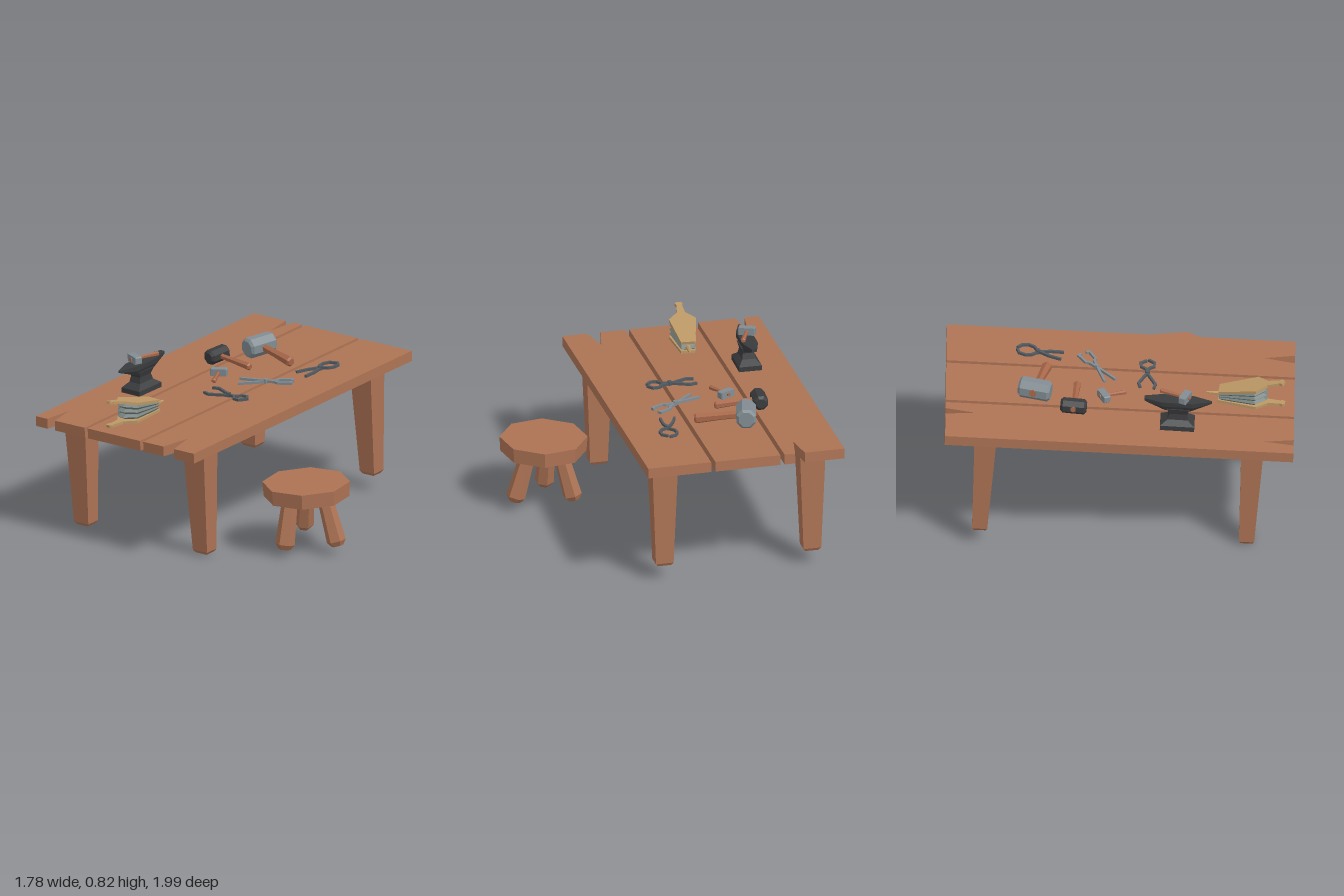
import * as THREE from 'three';
import { ConvexGeometry } from 'three/addons/geometries/ConvexGeometry.js';

const mat = (name, color) => new THREE.MeshStandardMaterial({ name, color });
const wood = mat('wood', 0xad7354);
const handleWood = mat('handle wood', 0xa8674a);
const paleWood = mat('pale wood', 0xbb9765);
const iron = mat('black iron', 0x3a3b3d);
const steel = mat('steel', 0x818c92);
const darkSteel = mat('dark steel', 0x525b61);
const leather = mat('grey leather', 0x77827f);

// Split faces so that every facet is flat
function facet(geo) {
  const g = geo.index ? geo.toNonIndexed() : geo;
  g.computeVertexNormals();
  return g;
}

function add(parent, name, geo, material, x = 0, y = 0, z = 0) {
  const m = new THREE.Mesh(facet(geo), material);
  m.name = name;
  m.position.set(x, y, z);
  parent.add(m);
  return m;
}

// Faceted turned form along y from [radius, y] pairs, with a flat side facing +z
function turned(profile, sides) {
  const pts = profile.map(([r, y]) => new THREE.Vector2(r / Math.cos(Math.PI / sides), y));
  return new THREE.LatheGeometry(pts, sides).rotateY(Math.PI / sides);
}

// Flat slab from [x, z] outline, top face at y = 0
function slab(outline, depth) {
  const shape = new THREE.Shape(outline.map(([x, z]) => new THREE.Vector2(x, z)));
  return new THREE.ExtrudeGeometry(shape, { depth, bevelEnabled: false }).rotateX(Math.PI / 2);
}

// Group on the table whose +x points along (dx, dz)
function place(parent, name, x, z, dx, dz, y = 0) {
  const g = new THREE.Group();
  g.name = name;
  g.position.set(x, y, z);
  g.rotation.y = Math.atan2(-dz, dx);
  parent.add(g);
  return g;
}

function buildTable(parent) {
  const table = new THREE.Group();
  table.name = 'table';
  table.rotation.y = -0.574;
  parent.add(table);
  const e = 0.862;
  // Three planks, two of them with splits in the ends
  const planks = [
    [[-0.5, -e], [-0.298, -e], [-0.277, -0.714], [-0.249, -e], [-0.195, -e], [-0.191, e],
      [-0.38, e], [-0.407, 0.716], [-0.427, e], [-0.5, e]],
    [[-0.174, -e], [0.158, -e], [0.16, e], [-0.172, e]],
    [[0.179, -e], [0.5, -e], [0.5, e], [0.375, e], [0.34, 0.71], [0.307, e], [0.18, e]],
  ];
  planks.forEach((p) => add(table, 'plank', slab(p, 0.052), wood));
  // Tapered legs with chamfered feet
  for (const sx of [-1, 1]) {
    for (const sz of [-1, 1]) {
      const leg = turned([[0, -0.605], [0.034, -0.605], [0.045, -0.59], [0.066, -0.051], [0, -0.051]], 4);
      add(table, 'tableLeg', leg.scale(1, 1, 0.83), wood, sx * 0.376, 0, sz * 0.66);
    }
  }
}

function buildStool(root) {
  const stool = new THREE.Group();
  stool.name = 'stool';
  root.add(stool);
  const seat = add(stool, 'stoolSeat', new THREE.CylinderGeometry(0.218, 0.213, 0.075, 8), wood, 0.475, 0.325, 0.637);
  seat.rotation.set(0.015, 0, 0.035);
  const legs = [
    [[0.375, 0.035, 0.725], [0.40, 0.3, 0.68]],
    [[0.635, 0.05, 0.685], [0.565, 0.3, 0.655]],
    [[0.445, 0.065, 0.46], [0.465, 0.3, 0.53]],
  ];
  for (const [a, b] of legs) {
    const foot = new THREE.Vector3(...a);
    const dir = new THREE.Vector3(...b).sub(foot);
    const len = dir.length();
    const geo = turned([[0, 0], [0.026, 0], [0.042, 0.025], [0.033, len], [0, len]], 6);
    const leg = add(stool, 'stoolLeg', geo, wood, ...a);
    leg.quaternion.setFromUnitVectors(new THREE.Vector3(0, 1, 0), dir.normalize());
  }
}

// Hammer with head across +x and handle running to the given end point
function hammer(parent, name, [x, z], [ex, ez], o) {
  const g = place(parent, name, x, z, ex - x, ez - z, o.y || 0);
  const len = Math.hypot(ex - x, ez - z);
  const h = o.length / 2, r = o.radius, b = o.bevel;
  const head = turned([[0, -h], [r - b, -h], [r, -h + b], [r, h - b], [r - b, h], [0, h]], o.sides);
  add(g, 'hammerHead', head.rotateX(Math.PI / 2), o.material, 0, r, 0);
  const k = o.grip;
  const shaft = turned([[0, -r - 0.006], [k * 0.8, -r - 0.006], [k * 0.85, len * 0.5], [k * 1.1, len - k * 0.5], [k * 0.75, len], [0, len]], 6);
  const m = add(g, 'hammerHandle', shaft.rotateZ(-Math.PI / 2), handleWood, 0, r, 0);
  m.rotation.z = -Math.atan2(Math.max(0, r - k * 1.2) * (o.droop ?? 1), len);
}

// Two crossed, mirrored arms made from short bars along [x, z] points
function tongs(parent, name, [x, z], [dx, dz], arm, material) {
  const g = place(parent, name, x, z, dx, dz);
  for (const s of [-1, 1]) {
    for (let i = 1; i < arm.length; i++) {
      const [ax, az] = arm[i - 1], [bx, bz] = arm[i];
      const len = Math.hypot(bx - ax, bz - az) + 0.006;
      const bar = add(g, 'tongArm', new THREE.BoxGeometry(len, 0.013, 0.012), material,
        (ax + bx) / 2, 0.009 + s * 0.002, s * (az + bz) / 2);
      bar.rotation.y = -s * Math.atan2(bz - az, bx - ax);
    }
  }
  add(g, 'tongPivot', new THREE.CylinderGeometry(0.012, 0.012, 0.022, 6), material, 0, 0.011, 0);
}

function buildAnvil(parent) {
  const g = place(parent, 'anvil', -0.4, 0.08, 0.56, -0.83);
  // Foot and waist
  const body = turned([[0, 0], [0.085, 0], [0.085, 0.025], [0.05, 0.05], [0.042, 0.08], [0.055, 0.11], [0, 0.11]], 4);
  add(g, 'anvilBase', body.scale(1, 1, 0.68), iron);
  // Head with horn and heel
  const pts = [[-0.165, 0.148, 0.004], [-0.165, 0.138, 0.004], [-0.07, 0.15, 0.038], [-0.07, 0.125, 0.038],
    [0.085, 0.15, 0.038], [0.085, 0.125, 0.036], [0.17, 0.153, 0.012], [0.17, 0.138, 0.012],
    [-0.06, 0.098, 0.025], [0.065, 0.098, 0.025]];
  const hull = pts.flatMap(([x, y, z]) => [new THREE.Vector3(x, y, z), new THREE.Vector3(x, y, -z)]);
  add(g, 'anvilHead', new ConvexGeometry(hull), iron);
}

function buildBellows(parent) {
  const g = place(parent, 'bellows', -0.38, 0.48, -0.62, 0.78);
  const half = [[-0.125, 0.036], [0.068, 0.068], [0.122, 0.02]];
  const grip = [[0.18, 0.014], [0.195, 0.02], [0.207, 0.01]];
  const mirror = (h) => [...h, ...h.slice().reverse().map(([x, z]) => [x, -z])];
  const board = mirror([...half, ...grip]);
  const body = mirror(half);
  // Parts fan open about the nozzle end
  const fan = (name, geo, material, y, tilt) => {
    const m = add(g, name, geo, material, -0.125, y, 0);
    m.geometry.translate(0.125, 0, 0);
    m.rotation.z = tilt;
  };
  fan('lowerBoard', slab(board, 0.014), paleWood, 0.018, 0.01);
  for (let i = 0; i < 3; i++) {
    const pts = [[-0.011, 0.82], [0, 0.97], [0.011, 0.82]].flatMap(([y, s]) =>
      body.map(([x, z]) => new THREE.Vector3(x * s, y, z * s)));
    fan('leatherFold', new ConvexGeometry(pts), leather, 0.026 + i * 0.011, 0.05 + i * 0.07);
  }
  fan('upperBoard', slab(board, 0.014), paleWood, 0.066, 0.24);
  const nozzle = turned([[0, 0], [0.013, 0], [0.005, 0.09], [0, 0.09]], 6).rotateZ(Math.PI / 2);
  add(g, 'nozzle', nozzle, paleWood, -0.095, 0.035, 0);
}

export function createModel() {
  const root = new THREE.Group();
  root.name = 'smithWorkbench';

  // Slightly leaning bench; its origin is the centre of the table surface
  const bench = new THREE.Group();
  bench.name = 'bench';
  bench.position.y = 0.6475;
  bench.rotation.set(0.04, 0, 0.038);
  root.add(bench);
  buildTable(bench);
  buildStool(root);
  buildAnvil(bench);
  buildBellows(bench);

  hammer(bench, 'sledgeHammer', [-0.064, -0.316], [0.115, -0.18],
    { length: 0.13, radius: 0.036, bevel: 0.012, sides: 8, material: iron, grip: 0.016 });
  hammer(bench, 'largeMallet', [0.137, -0.415], [0.315, -0.228],
    { length: 0.16, radius: 0.049, bevel: 0.012, sides: 8, material: steel, grip: 0.021 });
  hammer(bench, 'smallHammer', [-0.035, -0.12], [-0.05, 0],
    { length: 0.085, radius: 0.018, bevel: 0.004, sides: 4, material: steel, grip: 0.01 });
  hammer(bench, 'anvilHammer', [-0.425, 0.1], [-0.315, 0.025],
    { length: 0.085, radius: 0.019, bevel: 0.004, sides: 4, material: steel, grip: 0.01, y: 0.151, droop: 0 });

  const roundArm = [[-0.12, -0.035], [-0.06, -0.024], [0, 0], [0.025, 0.032], [0.055, 0.043], [0.088, 0.034], [0.104, 0.007]];
  const bentArm = [[-0.128, -0.034], [-0.095, -0.042], [-0.045, -0.02], [0, 0], [0.04, 0.008], [0.058, 0.032], [0.09, 0.034], [0.112, 0.007]];
  const flatArm = [[-0.132, -0.03], [-0.05, -0.012], [0, 0], [0.05, 0.014], [0.06, 0.028], [0.128, 0.031], [0.13, 0.015]];
  tongs(bench, 'roundTongs', [0.46, -0.19], [0.7, -0.7], roundArm, darkSteel);
  tongs(bench, 'bentTongs', [0.045, 0.187], [0.83, 0.55], bentArm, darkSteel);
  tongs(bench, 'flatTongs', [0.21, -0.005], [1, 0.05], flatArm, steel);
  return root;
}
